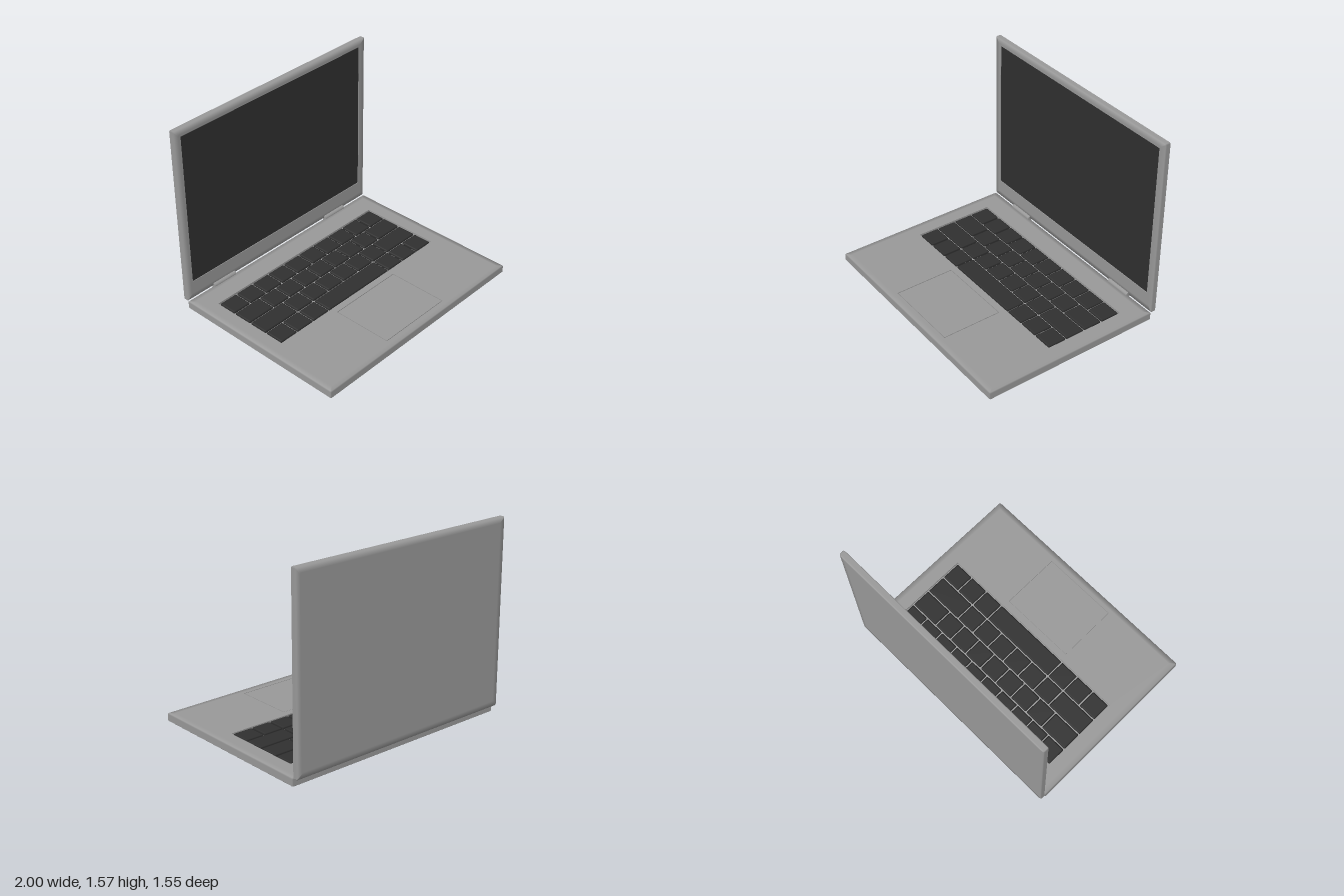
import * as THREE from 'three';

const bodyGrey = new THREE.MeshStandardMaterial({ color: 0x999999 });
bodyGrey.name = 'body grey';
const darkGrey = new THREE.MeshStandardMaterial({ color: 0x303030 });
darkGrey.name = 'dark grey';

function part(geometry, material, name, x = 0, y = 0, z = 0) {
  const mesh = new THREE.Mesh(geometry, material);
  mesh.name = name;
  mesh.position.set(x, y, z);
  return mesh;
}

// Rectangle with cut corners; each point keeps the outward direction of its own side
function outline(w, h, inset, cut) {
  const a = w / 2 - inset, b = h / 2 - inset;
  return [
    [a, -b + cut, 1, 0], [a, b - cut, 1, 0], [a - cut, b, 0, 1], [-a + cut, b, 0, 1],
    [-a, b - cut, -1, 0], [-a, -b + cut, -1, 0], [-a + cut, -b, 0, -1], [a - cut, -b, 0, -1],
  ];
}

// Skin through rectangular loops: each row is [inset, z, outward normal, upward normal]
function loft(w, h, cut, rows) {
  const pos = [], nor = [], idx = [], n = 8;
  rows.forEach(([inset, z, out, up], r) => {
    for (const [x, y, nx, ny] of outline(w, h, inset, cut)) {
      const v = new THREE.Vector3(nx * out, ny * out, up).normalize();
      pos.push(x, y, z);
      nor.push(v.x, v.y, v.z);
    }
    if (r === 0) return;
    for (let i = 0; i < n; i++) {
      const j = (i + 1) % n, a = (r - 1) * n, b = r * n;
      idx.push(a + i, a + j, b + j, a + i, b + j, b + i);
    }
  });
  const g = new THREE.BufferGeometry();
  g.setAttribute('position', new THREE.Float32BufferAttribute(pos, 3));
  g.setAttribute('normal', new THREE.Float32BufferAttribute(nor, 3));
  g.setIndex(idx);
  return g;
}

function rectPath(Type, w, h, x, y, inset, cut) {
  return new Type(outline(w, h, inset, cut).map(p => new THREE.Vector2(p[0] + x, p[1] + y)));
}

// Soft-edged slab standing on local z = 0, with optional rectangular pockets in its front
function slab(name, w, h, t, bevel, band, material, pockets = []) {
  const group = new THREE.Group();
  group.name = name;
  group.add(part(loft(w, h, bevel, [
    [band, 0, 0, -1], [bevel, 0, 1, -1], [0, bevel, 1, 0],
    [0, t - bevel, 1, 0], [bevel, t, 1, 1], [band, t, 0, 1],
  ]), material, name + 'Edge'));

  const back = new THREE.ShapeGeometry(rectPath(THREE.Shape, w, h, 0, 0, band, bevel));
  back.rotateY(Math.PI);
  group.add(part(back, material, name + 'Back'));

  const front = rectPath(THREE.Shape, w, h, 0, 0, band, bevel);
  for (const p of pockets) {
    front.holes.push(rectPath(THREE.Path, p.w, p.h, p.x, p.y, 0, 0.002));
    group.add(part(loft(p.w, p.h, 0.002, [[0, t, -1, 0], [0, t - p.depth, -1, 0]]),
      material, p.name + 'Wall', p.x, p.y, 0));
    group.add(part(new THREE.PlaneGeometry(p.w, p.h), material, p.name + 'Floor', p.x, p.y, t - p.depth));
  }
  group.add(part(new THREE.ShapeGeometry(front), material, name + 'Front', 0, 0, t));
  return group;
}

export function createModel() {
  const model = new THREE.Group();
  model.name = 'laptop';

  // Base lies flat, so its local y points to the back
  const baseZ = 0.023, baseT = 0.065;
  const base = slab('base', 2, 1.5, baseT, 0.007, 0.045, bodyGrey, [
    { name: 'keyboardPocket', w: 1.724, h: 0.68, x: 0, y: 0.195 + baseZ, depth: 0.02 },
    { name: 'trackpadPocket', w: 0.648, h: 0.5, x: 0, y: -0.45 + baseZ, depth: 0.01 },
  ]);
  base.rotation.x = -Math.PI / 2;
  base.position.z = baseZ;
  model.add(base);

  // Trackpad sits flush, leaving a fine groove
  base.add(part(new THREE.BoxGeometry(0.636, 0.49, 0.01), bodyGrey, 'trackpad', 0, -0.45 + baseZ, baseT - 0.0055));

  // Keys: widths in units, ten units per row
  const rows = [
    Array(10).fill(1),
    [1.5, ...Array(7).fill(1), 1.5],
    [2, ...Array(6).fill(1), 2],
    [1, 1, 1, 4, 1, 1, 1],
  ];
  const unit = 0.1712, rowPitch = 0.1675, gap = 0.011;
  const keyboard = new THREE.Group();
  keyboard.name = 'keyboard';
  rows.forEach((widths, r) => {
    let x = -5 * unit;
    for (const u of widths) {
      const key = slab('key', u * unit - gap, rowPitch - gap, 0.019, 0.005, 0.012, darkGrey);
      key.position.set(x + u * unit / 2, 0.195 + baseZ + (1.5 - r) * rowPitch, baseT - 0.02);
      keyboard.add(key);
      x += u * unit;
    }
  });
  base.add(keyboard);

  // Upright lid with a slightly sunken screen
  const lidT = 0.046, screenY = 0.86 - 0.815;
  const lid = slab('lid', 2, 1.5, lidT, 0.007, 0.045, bodyGrey, [
    { name: 'screenPocket', w: 1.87, h: 1.284, x: 0, y: screenY, depth: 0.008 },
  ]);
  lid.position.set(0, 0.815, -0.773);
  lid.add(part(new THREE.BoxGeometry(1.868, 1.282, 0.004), darkGrey, 'screen', 0, screenY, lidT - 0.006));
  model.add(lid);

  // Hinge barrels
  for (const side of [-1, 1]) {
    const barrel = new THREE.CylinderGeometry(0.022, 0.022, 0.222, 16);
    barrel.rotateZ(Math.PI / 2);
    model.add(part(barrel, bodyGrey, side > 0 ? 'leftHinge' : 'rightHinge', side * 0.625, 0.067, -0.728));
  }
  return model;
}
